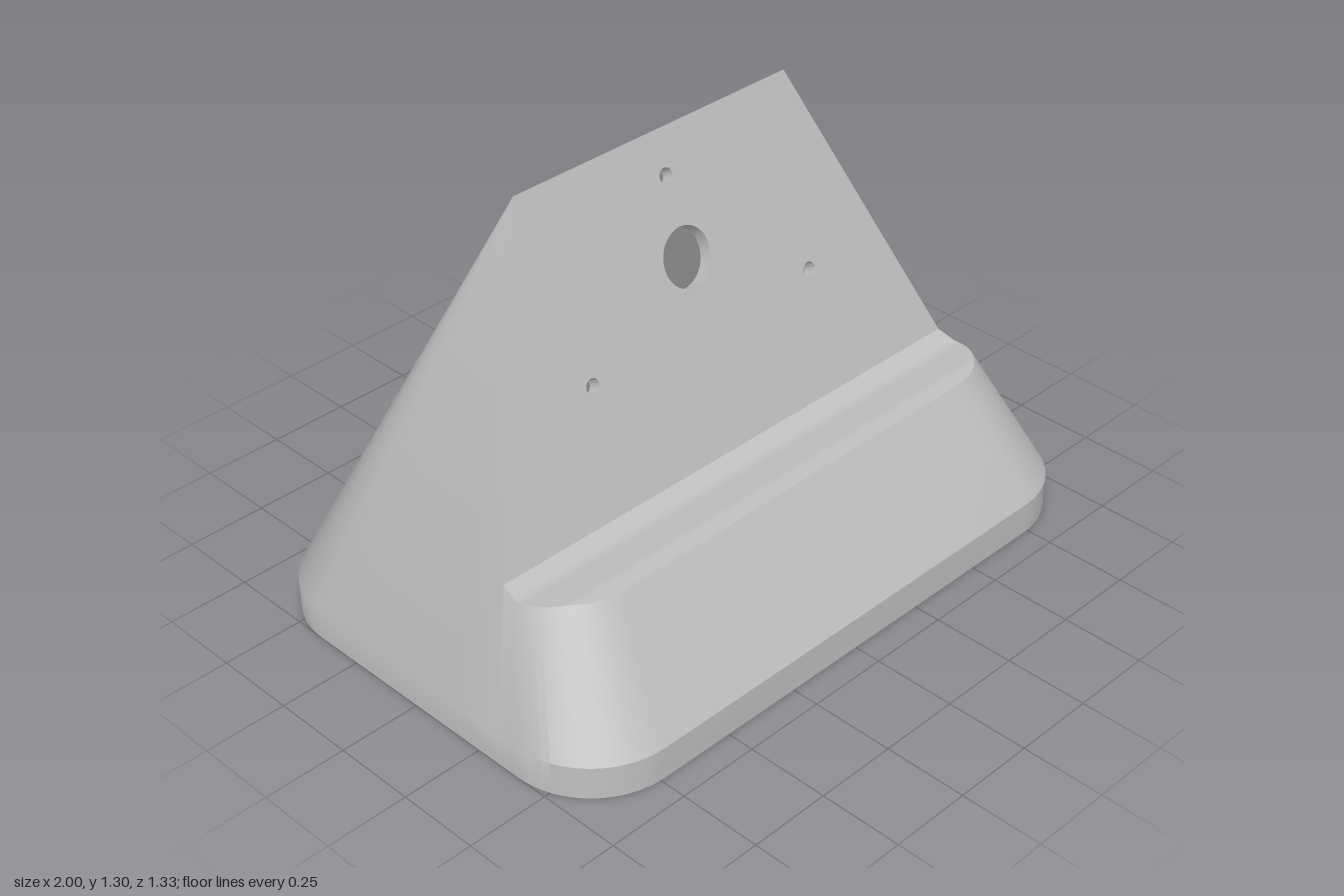
import * as THREE from 'three';
import { mergeGeometries, toCreasedNormals } from 'three/addons/utils/BufferGeometryUtils.js';

const CREASE = 0.5, BAND = 0.1;          // smoothing angle, height of the vertical base band
const CX = 0.733, CZ = 0.4;              // centres of the rounded base corners
const lerp = THREE.MathUtils.lerp;

// Outer and inner skins: corner radius, top ridge, and ledge profile as [z, y]
const OUTER = {
  r: 0.267, ridge: new THREE.Vector3(0.5, 1.305, -0.104),
  ledge: [[0.21, 0.44], [0.27, 0.42], [0.33, 0.432], [0.39, 0.444], [0.46, 0.445]],
};
const INNER = {
  r: 0.217, ridge: new THREE.Vector3(0.49, 1.19, -0.106),
  ledge: [[0.178, 0.395], [0.27, 0.375], [0.33, 0.387], [0.39, 0.398], [0.46, 0.4]],
};

// Ledge height at depth z
function ledgeY(ledge, z) {
  if (z <= ledge[0][0]) return ledge[0][1];
  for (let i = 1; i < ledge.length; i++) {
    const [z0, y0] = ledge[i - 1], [z1, y1] = ledge[i];
    if (z <= z1) return lerp(y0, y1, (z - z0) / (z1 - z0));
  }
  return ledge[ledge.length - 1][1];
}

// Base outline from the face plane's foot on +x, round the front or the back, to -x
function halfOutline({ r, ridge, ledge }, sign) {
  const [cz, cy] = ledge[0];
  const foot = ridge.z + (cz - ridge.z) * (ridge.y - BAND) / (ridge.y - cy);
  const half = [];
  for (let i = 0; i < 4; i++) half.push([CX + r, lerp(foot, sign * CZ, i / 4)]);
  for (let i = 0; i <= 16; i++) {
    const a = i / 16 * Math.PI / 2;
    half.push([CX + r * Math.cos(a), sign * (CZ + r * Math.sin(a))]);
  }
  return [...half, ...half.slice().reverse().map(([x, z]) => [-x, z])];
}

// Surface through neighbouring columns of points
function strip(columns, flip) {
  const pos = [];
  const tri = (a, b, c) => {
    if (a.distanceTo(b) < 1e-6 || b.distanceTo(c) < 1e-6 || c.distanceTo(a) < 1e-6) return;
    for (const p of flip ? [a, c, b] : [a, b, c]) pos.push(p.x, p.y, p.z);
  };
  for (let i = 0; i + 1 < columns.length; i++) {
    const a = columns[i], b = columns[i + 1];
    for (let j = 0; j + 1 < Math.min(a.length, b.length); j++) {
      tri(a[j], a[j + 1], b[j]);
      tri(b[j], a[j + 1], b[j + 1]);
    }
  }
  const g = new THREE.BufferGeometry();
  g.setAttribute('position', new THREE.Float32BufferAttribute(pos, 3));
  return g;
}

// One skin: base band, tapering walls and the ledge across the front
function skin(s, flip) {
  const at = ([x, z], t) => new THREE.Vector3(
    lerp(x, Math.sign(x) * s.ridge.x, t), lerp(BAND, s.ridge.y, t), lerp(z, s.ridge.z, t));
  const clip = (p) => {
    let lo = 0, hi = 1;
    for (let k = 0; k < 40; k++) {
      const m = (lo + hi) / 2, v = at(p, m);
      if (v.y < ledgeY(s.ledge, v.z)) lo = m; else hi = m;
    }
    return lo;
  };
  const foot = ([x, z]) => [new THREE.Vector3(x, 0, z), new THREE.Vector3(x, BAND, z)];
  const front = halfOutline(s, 1).map(p => [...foot(p), at(p, clip(p))]);
  const backPts = halfOutline(s, -1), n = backPts.length / 2;
  const back = backPts.map(p => [...foot(p), at(p, 1)]);
  const top = front.map(c => c[2]);
  const ledge = top.slice(0, top.length / 2).map((p, i) => [p, top[top.length - 1 - i]]);
  const g = mergeGeometries([
    strip(front, flip),
    strip(back.slice(0, n), !flip),
    strip(back.slice(n - 1, n + 1).map(c => c.slice(0, 2)), !flip),
    strip(back.slice(n), !flip),
    strip(ledge, flip),
  ]);
  g.computeVertexNormals();
  return toCreasedNormals(g, CREASE);
}

// Edges of the flat panels: lower and upper half width, height and depth
function panelEdges(s, isFront) {
  const { x: xt, y: yt, z: zt } = s.ridge;
  if (!isFront) return { xb: CX, yb: BAND, zb: -CZ - s.r, xt, yt, zt };
  const [zb, yb] = s.ledge[0];
  return { xb: lerp(CX + s.r, xt, (yb - BAND) / (yt - BAND)), yb, zb, xt, yt, zt };
}

// Sloping panel with thickness and through holes
function panel(isFront, holes, drop) {
  const o = panelEdges(OUTER, isFront), n = panelEdges(INNER, isFront);
  const shape = new THREE.Shape([[-o.xb, o.yb], [o.xb, o.yb], [o.xt, o.yt], [-o.xt, o.yt]]
    .map(p => new THREE.Vector2(...p)));
  shape.holes = holes;
  const g = new THREE.ExtrudeGeometry(shape, { depth: 1, bevelEnabled: false, curveSegments: 32 });
  const p = g.attributes.position;
  for (let i = 0; i < p.count; i++) {
    let x = p.getX(i), y = p.getY(i);
    const outside = (p.getZ(i) > 0.5) === isFront, e = outside ? o : n;
    if (!outside) {
      if (y > o.yt - 1e-4) { x = Math.sign(x) * n.xt; y = n.yt; }
      else if (y < o.yb + 1e-4) { x = Math.sign(x) * n.xb; y = n.yb; }
      else y -= drop;
    }
    p.setXYZ(i, x, y, lerp(e.zb, e.zt, (y - e.yb) / (e.yt - e.yb)));
  }
  g.computeVertexNormals();
  return toCreasedNormals(g, CREASE);
}

const roundHole = (x, y, rx, ry) => new THREE.Path().absellipse(x, y, rx, ry, 0, Math.PI * 2, true);
const polyHole = (pts) => new THREE.Path(pts.map(p => new THREE.Vector2(...p)));

export function createModel() {
  const group = new THREE.Group();
  const grey = new THREE.MeshStandardMaterial({ color: 0xc0c0c0 });
  grey.name = 'light grey';
  const add = (name, geometry) => {
    const m = new THREE.Mesh(geometry, grey);
    m.name = name;
    group.add(m);
    return m;
  };

  // Hollow housing and its bottom rim
  add('outerShell', skin(OUTER, false));
  add('innerShell', skin(INNER, true));
  const outline = (s) => {
    const pts = [...halfOutline(s, 1), ...halfOutline(s, -1).reverse()];
    return pts.map(([x, z]) => new THREE.Vector3(x, 0, z));
  };
  const inner = outline(INNER);
  const rim = strip(outline(OUTER).map((p, i) => [inner[i], p]), false);
  rim.computeVertexNormals();
  add('bottomRim', rim);

  // Leaning face with a cable hole and three screw holes
  add('frontPanel', panel(true, [
    roundHole(0, 0.968, 0.085, 0.081),
    ...[[0, 1.185], [-0.417, 0.78], [0.417, 0.78]].map(([x, y]) => roundHole(x, y, 0.023, 0.021)),
  ], 0.021));

  // Back with vent slots, some of them opening into the socket cutout
  const W = 0.02, LOW = 0.19, HIGH = 0.487, H = 0.13, SOCKET = 0.24;
  const slots = Array.from({ length: 9 }, (_, i) => 0.386 - i * 0.0915);
  const socket = [[-H, 0.108], [H, 0.108], [H, SOCKET]];
  const holes = [roundHole(0, 1.135, 0.021, 0.021)];
  for (const x of slots) {
    if (Math.abs(x) < H) socket.push([x + W, SOCKET], [x + W, HIGH], [x - W, HIGH], [x - W, SOCKET]);
    else holes.push(polyHole([[x - W, LOW], [x + W, LOW], [x + W, HIGH], [x - W, HIGH]]));
  }
  socket.push([-H, SOCKET]);
  holes.push(polyHole(socket));
  add('backPanel', panel(false, holes, 0));

  // Screw posts inside the side walls
  const profile = [[0, 0.18], [0.024, 0.18], [0.024, 0.045], [0.062, 0.045], [0.062, 0.2], [0, 0.2]];
  const post = toCreasedNormals(
    new THREE.LatheGeometry(profile.map(p => new THREE.Vector2(...p)), 24), CREASE);
  for (const x of [-0.89, 0.89]) for (const z of [-0.3, 0.3]) add('screwPost', post).position.set(x, 0, z);

  return group;
}
